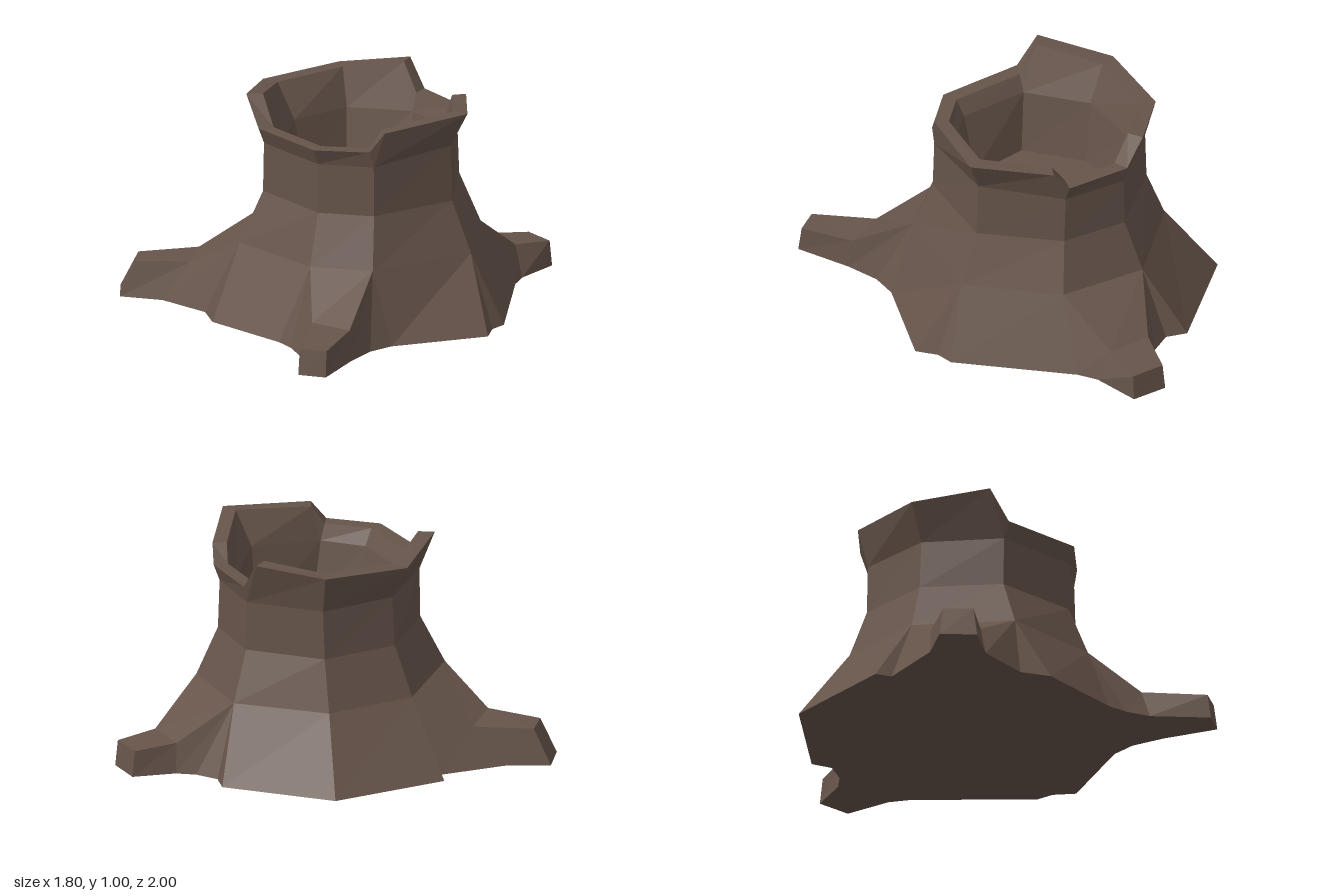
import * as THREE from 'three';

const bark = new THREE.MeshStandardMaterial({ name: 'bark brown', color: 0x66544a, flatShading: true });

// Joins consecutive loops of equal length with quads, going up the outside or down the inside
function skin(name, loops, closed = true) {
  const pos = [];
  const same = (a, b) => a[0] === b[0] && a[1] === b[1] && a[2] === b[2];
  const tri = (a, b, c) => {
    if (!same(a, b) && !same(b, c) && !same(a, c)) pos.push(...a, ...b, ...c);
  };
  for (let k = 0; k + 1 < loops.length; k++) {
    const lo = loops[k], up = loops[k + 1];
    const n = closed ? lo.length : lo.length - 1;
    for (let i = 0; i < n; i++) {
      const j = (i + 1) % lo.length;
      tri(lo[i], lo[j], up[j]);
      tri(lo[i], up[j], up[i]);
    }
  }
  return meshFrom(name, pos);
}

function meshFrom(name, pos) {
  const g = new THREE.BufferGeometry();
  g.setAttribute('position', new THREE.Float32BufferAttribute(pos, 3));
  g.computeVertexNormals();
  const m = new THREE.Mesh(g, bark);
  m.name = name;
  return m;
}

// Flat cap over a loop of points, facing up or down
function cap(name, loop, up) {
  const flat = loop.map(p => new THREE.Vector2(p[0], -p[2]));
  const pos = [];
  for (const f of THREE.ShapeUtils.triangulateShape(flat, [])) {
    const [a, b, c] = f.map(i => flat[i]);
    const ccw = (b.x - a.x) * (c.y - a.y) - (b.y - a.y) * (c.x - a.x) > 0;
    const order = ccw === up ? f : [f[0], f[2], f[1]];
    order.forEach(i => pos.push(...loop[i]));
  }
  return meshFrom(name, pos);
}

const ring = (y, pts) => pts.map(([x, z]) => [x, y, z]);
const shrink = (loop, s) => loop.map(([x, y, z]) => [0.16 + (x - 0.16) * s, y, -0.06 + (z + 0.06) * s]);

export function createModel() {
  const group = new THREE.Group();
  group.name = 'treeStump';

  // Eight-sided trunk rings: left, front, right, back
  const foot = ring(0.33, [[-0.42, -0.06], [-0.24, 0.375], [0.22, 0.5], [0.49, 0.395],
    [0.725, -0.06], [0.51, -0.475], [0.14, -0.645], [-0.27, -0.46]]);
  const waist = ring(0.56, [[-0.325, -0.07], [-0.175, 0.28], [0.205, 0.41], [0.445, 0.315],
    [0.62, -0.065], [0.43, -0.42], [0.15, -0.55], [-0.2, -0.41]]);
  const neck = ring(0.79, [[-0.31, -0.07], [-0.17, 0.28], [0.2, 0.405], [0.44, 0.31],
    [0.61, -0.07], [0.42, -0.42], [0.15, -0.545], [-0.19, -0.41]]);
  neck[4][1] = 0.82;
  group.add(skin('trunk', [foot, waist, neck]));

  // Broken rim: corners are doubled where the height steps
  const rim = [
    [-0.4, 0.955, -0.07], [-0.275, 1, 0.265], [-0.18, 0.865, 0.31], [0.2, 0.865, 0.44],
    [0.43, 0.865, 0.33], [0.48, 0.95, 0.28], [0.69, 0.98, -0.085], [0.48, 0.95, -0.4],
    [0.43, 0.87, -0.45], [0.15, 0.87, -0.565], [0.06, 1, -0.585], [-0.23, 0.965, -0.44],
  ];
  const corner = [0, 1, 1, 2, 3, 3, 4, 5, 5, 6, 6, 7];
  const innerRim = shrink(rim, 0.86);
  group.add(skin('brokenRim', [corner.map(i => neck[i]), rim, innerRim]));

  // Hollow inside with a flat floor
  const innerNeck = shrink(neck, 0.83);
  const floor = ring(0.5, [[-0.18, -0.085], [-0.07, 0.2], [0.2, 0.26], [0.39, 0.19],
    [0.49, -0.08], [0.39, -0.34], [0.17, -0.39], [-0.1, -0.3]]);
  group.add(skin('hollowWall', [innerRim, corner.map(i => innerNeck[i]), corner.map(i => floor[i])]));
  group.add(cap('hollowFloor', floor, true));

  // Root tops: knuckle, tip, tip, knuckle
  const leftRoot = [[-0.61, 0.175, 0.14], [-0.82, 0.165, 0.32], [-0.755, 0.165, 0.44], [-0.52, 0.18, 0.35]];
  const frontRoot = [[0.36, 0.145, 0.7], [0.48, 0.12, 0.975], [0.595, 0.12, 0.945], [0.555, 0.14, 0.69]];
  const backRoot = [[0.52, 0.14, -0.75], [0.588, 0.12, -0.93], [0.44, 0.12, -0.985], [0.33, 0.14, -0.82]];

  // Ground outline, with the upper point each one rises to
  const [f0, f1, f2, f3, f4, f5, f6, f7] = foot;
  const flare = [
    [-0.66, -0.115, f0], [-0.6, -0.065, f0],
    [-0.75, 0.215, leftRoot[0]], [-0.9, 0.345, leftRoot[1]],
    [-0.81, 0.49, leftRoot[2]], [-0.62, 0.43, leftRoot[3]],
    [-0.365, 0.47, f1], [-0.26, 0.57, f1], [0.15, 0.65, f2], [0.24, 0.69, f2],
    [0.33, 0.76, frontRoot[0]], [0.475, 0.995, frontRoot[1]],
    [0.6, 0.96, frontRoot[2]], [0.57, 0.7, frontRoot[3]],
    [0.57, 0.54, f3], [0.61, 0.425, f3],
    [0.9, 0.07, f4], [0.86, -0.03, f4], [0.87, -0.11, f4], [0.6, -0.625, f5],
    [0.575, -0.72, backRoot[0]], [0.595, -0.94, backRoot[1]],
    [0.44, -1, backRoot[2]], [0.32, -0.84, backRoot[3]],
    [0.24, -0.79, f6], [0.13, -0.77, f6], [0.05, -0.83, f6], [-0.45, -0.625, f7],
  ];
  const ground = flare.map(([x, z]) => [x, 0, z]);
  group.add(skin('flaredBase', [ground, flare.map(p => p[2])]));
  group.add(cap('underside', ground, false));

  // Upper faces of the roots, from tip to trunk
  const roots = { leftRootTop: [leftRoot, f0, f1], frontRootTop: [frontRoot, f2, f3], backRootTop: [backRoot, f5, f6] };
  for (const [name, [r, a, b]] of Object.entries(roots)) {
    group.add(skin(name, [[r[1], r[2]], [r[0], r[3]], [a, b]], false));
  }
  return group;
}
